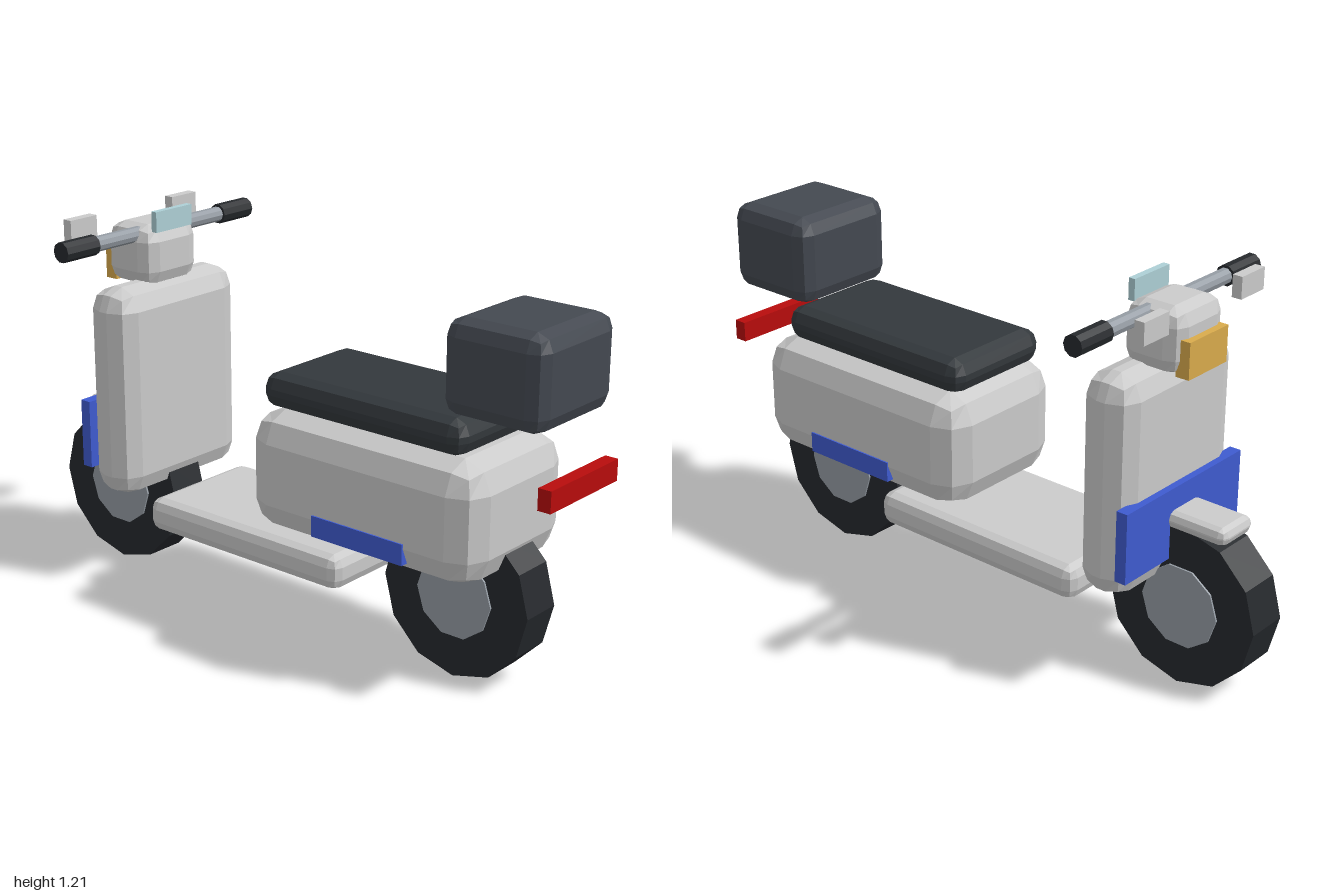
import * as THREE from 'three';
import { RoundedBoxGeometry } from 'three/addons/geometries/RoundedBoxGeometry.js';

const mat = (color) => new THREE.MeshStandardMaterial({ color, flatShading: true });

export function createModel() {
  const scooter = new THREE.Group();
  scooter.name = 'scooter';

  const grey = mat(0xcccccc);
  const rubber = mat(0x26292d);
  const metal = mat(0x959ca4);
  const vinyl = mat(0x33383c);
  const caseGrey = mat(0x444951);
  const red = mat(0xb80c0c);
  const blue = mat(0x3f5bd0);
  const amber = mat(0xd9ab4c);
  const glass = mat(0xaed0d6);

  const add = (name, geometry, material) => {
    const mesh = new THREE.Mesh(geometry, material);
    mesh.name = name;
    scooter.add(mesh);
    return mesh;
  };

  // Box given by its [min, max] range on each axis; a radius bevels the edges
  const box = (name, [x0, x1], [y0, y1], [z0, z1], material, radius = 0) => {
    const size = [x1 - x0, y1 - y0, z1 - z0];
    const geometry = radius
      ? new RoundedBoxGeometry(...size, 1, radius)
      : new THREE.BoxGeometry(...size);
    const mesh = add(name, geometry, material);
    mesh.position.set((x0 + x1) / 2, (y0 + y1) / 2, (z0 + z1) / 2);
    return mesh;
  };

  // Cylinder lying along x
  const rod = (name, radius, length, sides, [x, y, z], material) => {
    const geometry = new THREE.CylinderGeometry(radius, radius, length, sides).rotateZ(Math.PI / 2);
    const mesh = add(name, geometry, material);
    mesh.position.set(x, y, z);
    return mesh;
  };

  // Wheels
  for (const [name, z] of [['rear', 0.625], ['front', -0.745]]) {
    rod(`${name}Tire`, 0.253, 0.134, 12, [0, 0.253, z], rubber);
    rod(`${name}Hub`, 0.13, 0.146, 10, [0, 0.253, z], metal);
  }

  // Bodywork
  box('rearBody', [-0.243, 0.243], [0.35, 0.72], [-0.03, 0.8], grey, 0.09);
  box('floorboard', [-0.218, 0.218], [0.214, 0.322], [-0.465, 0.305], grey, 0.034);
  box('legShield', [-0.264, 0.264], [0.305, 0.984], [-0.678, -0.508], grey, 0.07);
  box('frontFender', [-0.074, 0.074], [0.487, 0.54], [-0.888, -0.6], grey, 0.024);
  box('frontPanel', [-0.27, 0.27], [0.39, 0.61], [-0.7, -0.663], blue);

  // Seat and luggage
  box('seat', [-0.197, 0.197], [0.72, 0.83], [-0.005, 0.722], vinyl, 0.045);
  box('luggageCase', [-0.187, 0.187], [0.834, 1.116], [0.638, 0.968], caseGrey, 0.05);
  box('tailLight', [-0.165, 0.165], [0.634, 0.699], [0.958, 1], red);

  // Steering head, headlight and small screen
  box('steeringHead', [-0.115, 0.115], [0.963, 1.158], [-0.733, -0.537], grey, 0.05);
  box('headlight', [-0.088, 0.088], [0.965, 1.075], [-0.755, -0.711], amber);
  box('screen', [-0.078, 0.078], [1.14, 1.205], [-0.557, -0.536], glass);
  rod('handlebar', 0.024, 0.7, 10, [0, 1.128, -0.61], metal);

  // Mirrored parts
  for (const s of [-1, 1]) {
    const span = (a, b) => (s > 0 ? [a, b] : [-b, -a]);
    rod('grip', 0.032, 0.133, 10, [s * 0.342, 1.128, -0.61], rubber);
    box('mirror', span(0.167, 0.276), [1.12, 1.187], [-0.74, -0.708], grey);
    box('sideTrim', span(0.22, 0.248), [0.39, 0.455], [0.238, 0.57], blue);
  }

  return scooter;
}
